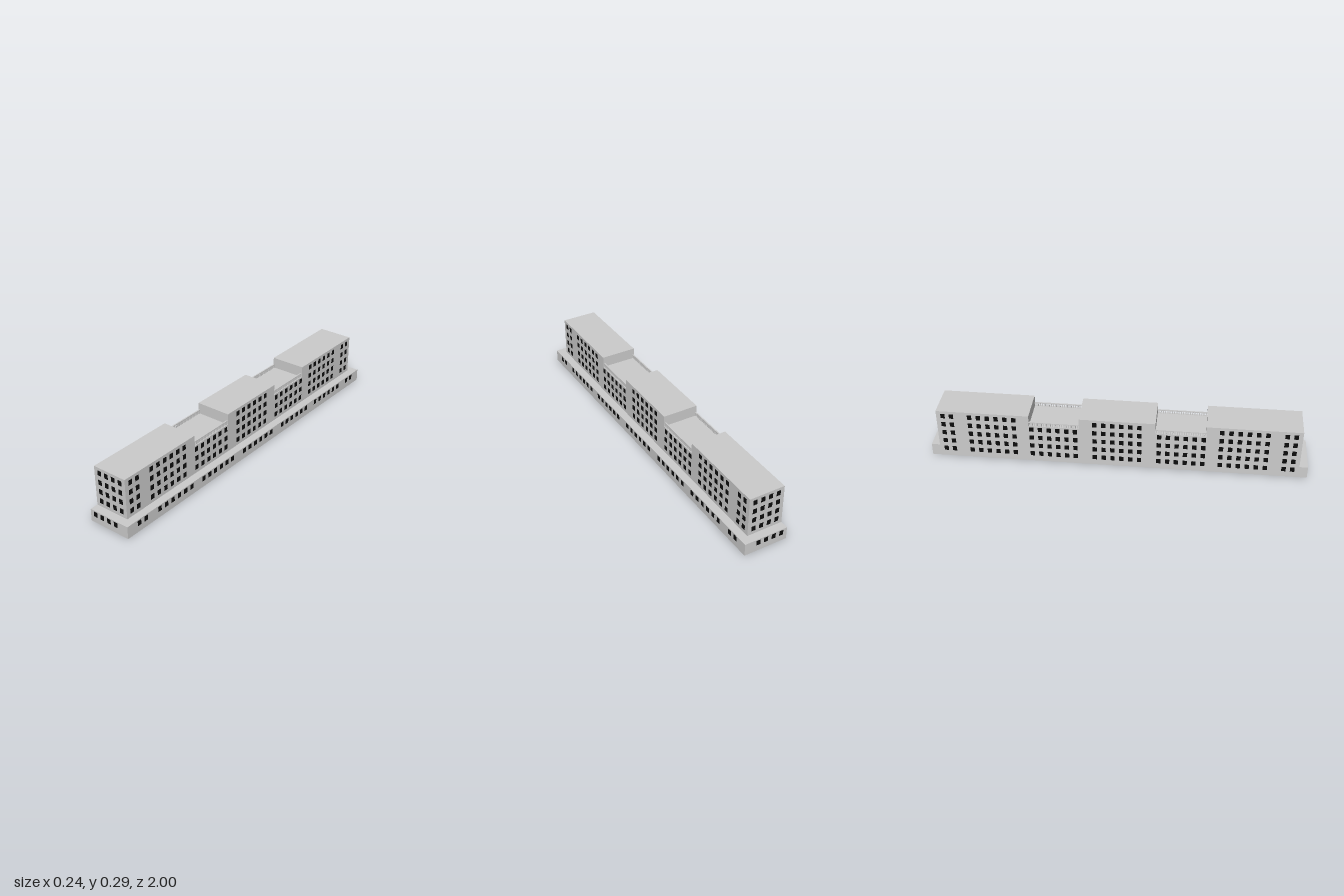
import * as THREE from 'three';
import { mergeGeometries } from 'three/addons/utils/BufferGeometryUtils.js';

const BACK = -0.119, FACADE = 0.076, LEDGE = 0.119; // x planes
const PODIUM = 0.067, LOW = 0.226, HIGH = 0.286;    // heights
const TOWER_END = 0.955;

// Mirror a half profile of [z, y] points into a full one running from -z to +z
const mirrored = (half) => [...half.map(([z, y]) => [-z, y]), ...half.slice().reverse()];

const towerHalf = [[TOWER_END, PODIUM], [TOWER_END, HIGH], [0.463, HIGH], [0.463, LOW], [0.2, LOW], [0.2, HIGH]];
const podiumHalf = [[1, 0], [1, PODIUM]];

// Flat wall facing -x or +x with the given outline (outlines are symmetric in z)
function wall(profile, x, dir) {
  const shape = new THREE.Shape(profile.map(([z, y]) => new THREE.Vector2(z, y)));
  return new THREE.ShapeGeometry(shape).rotateY(dir * Math.PI / 2).translate(x, 0, 0);
}

// Roofs, ledges and end walls: a strip following the profile between two x planes
function strip(profile, x0, x1) {
  const pos = [];
  for (let i = 0; i < profile.length - 1; i++) {
    const [z0, y0] = profile[i], [z1, y1] = profile[i + 1];
    pos.push(x0, y0, z0, x0, y1, z1, x1, y1, z1, x0, y0, z0, x1, y1, z1, x1, y0, z0);
  }
  const g = new THREE.BufferGeometry();
  g.setAttribute('position', new THREE.Float32BufferAttribute(pos, 3));
  g.computeVertexNormals();
  return g;
}

const box = (w, h, d, x, y, z) => new THREE.BoxGeometry(w, h, d).translate(x, y, z);

export function createModel() {
  const group = new THREE.Group();
  const grey = new THREE.MeshStandardMaterial({ color: 0xcccccc, side: THREE.DoubleSide });
  const black = new THREE.MeshStandardMaterial({ color: 0x0c0c0c });
  const add = (name, geometry, material = grey) => {
    const mesh = new THREE.Mesh(geometry, material);
    mesh.name = name;
    group.add(mesh);
  };

  // Hollow shell, open underneath
  const tower = mirrored(towerHalf);
  const podium = mirrored(podiumHalf);
  const whole = mirrored([...podiumHalf, ...towerHalf]);
  add('backWall', wall(whole, BACK, -1));
  add('facadeWall', wall(tower, FACADE, 1));
  add('roofsAndEndWalls', strip(whole, BACK, FACADE));
  add('podiumWall', wall(podium, LEDGE, 1));
  add('podiumLedge', strip(podium, FACADE, LEDGE));

  // Windows, thin panes set through the walls
  const T = 0.002, W = 0.023, H = 0.027;
  const rowY = (r) => 0.0475 + 0.0522 * r;
  const columns = []; // [z, number of floors]
  for (let i = 0; i < 6; i++) {
    columns.push([-0.1175 + 0.047 * i, 5]);
    for (const s of [-1, 1]) {
      columns.push([s * (0.22 + 0.0462 * i), 4]);
      columns.push([s * (0.543 + 0.047 * i), 5]);
    }
  }
  for (const s of [-1, 1]) columns.push([s * 0.875, 5], [s * 0.92, 5]);

  const sidePanes = [], endPanes = [];
  for (const [z, floors] of columns) {
    for (let r = 0; r < floors; r++) {
      sidePanes.push(box(T, H, W, BACK, rowY(r), z));
      sidePanes.push(box(T, H, W, r === 0 ? LEDGE : FACADE, rowY(r), z));
    }
  }
  for (const s of [-1, 1]) {
    for (let r = 0; r < 5; r++) {
      for (let c = 0; c < 4; c++) {
        endPanes.push(box(0.022, H, T, -0.087 + 0.0435 * c, rowY(r), s * (r === 0 ? 1 : TOWER_END)));
      }
    }
  }
  add('sideWindows', mergeGeometries(sidePanes), black);
  add('endWindows', mergeGeometries(endPanes), black);

  // Balustrades along both edges of the two low roofs
  const railing = [];
  const length = 0.263, count = 22, top = 0.248;
  for (const s of [-1, 1]) {
    for (const x of [BACK + 0.005, FACADE - 0.007]) {
      const mid = s * 0.3315;
      railing.push(box(0.007, 0.005, length, x, top - 0.0025, mid));
      for (let i = 0; i < count; i++) {
        const z = mid + ((i + 0.5) / count - 0.5) * length;
        railing.push(box(0.005, top - LOW - 0.004, 0.005, x, (top + LOW - 0.004) / 2, z));
      }
    }
  }
  add('balustrades', mergeGeometries(railing));

  return group;
}
